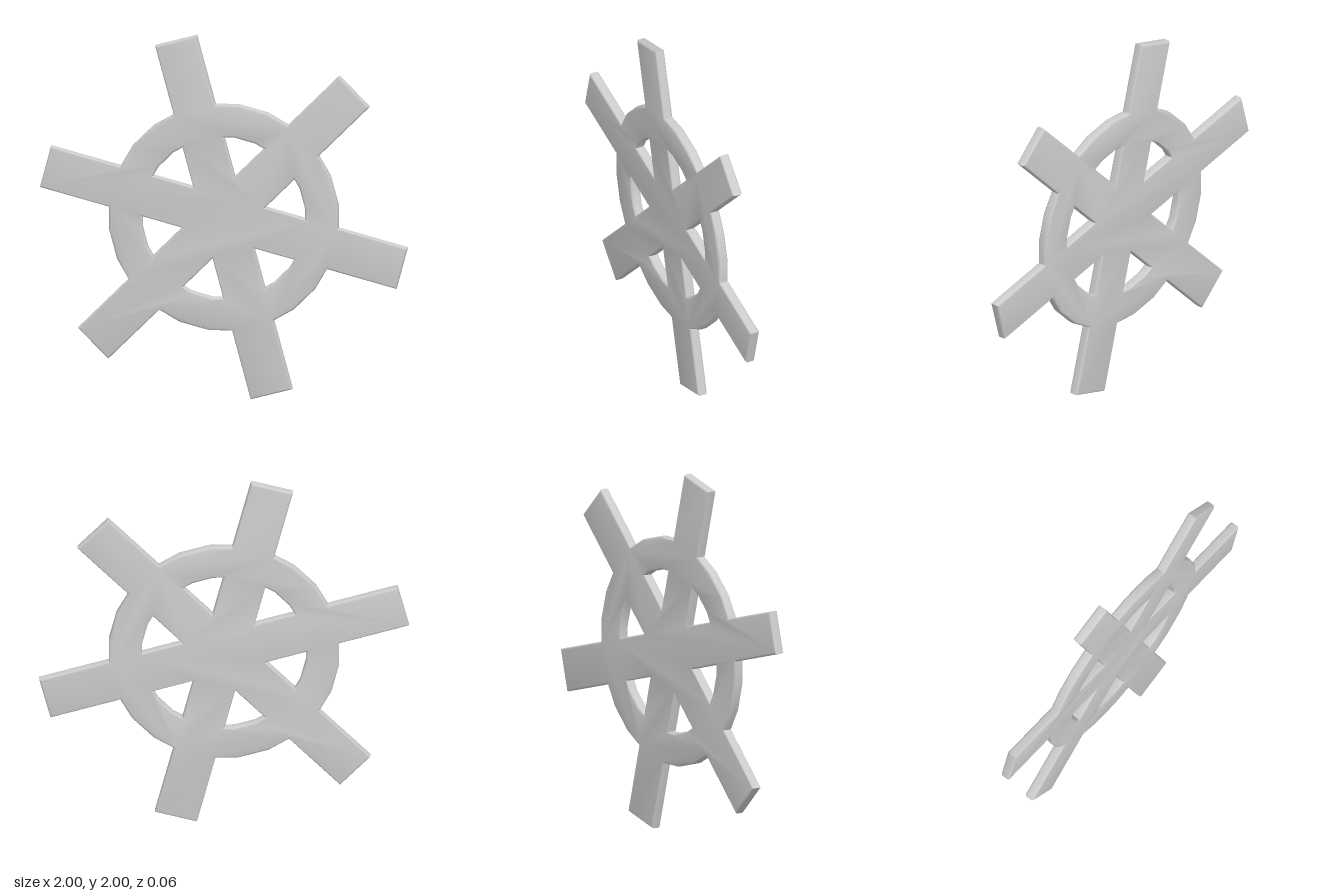
import * as THREE from 'three';
import { toCreasedNormals } from 'three/addons/utils/BufferGeometryUtils.js';

const SPOKES = 6;
const HALF_WIDTH = 0.117;   // half the width of a spoke
const REACH = 1.004;        // hub centre to spoke tip
const RING_OUT = 0.628;
const RING_IN = 0.447;
const HALF_DEPTH = 0.028;
const BEVEL = 0.012;

const deg = THREE.MathUtils.degToRad;
const polar = (r, a) => new THREE.Vector2(r * Math.cos(a), r * Math.sin(a));
// point given along and across a spoke that lies at angle a
const onSpoke = (along, across, a) =>
  new THREE.Vector2(along, across).rotateAround(new THREE.Vector2(), a);
// where a spoke's edge leaves a 24-sided circle of radius r
const edgeMeet = (r) => {
  const off = Math.asin(HALF_WIDTH / r) - deg(15);
  const rr = r * Math.cos(deg(7.5)) / Math.cos(off);
  return Math.sqrt(rr * rr - HALF_WIDTH * HALF_WIDTH);
};

export function createModel() {
  const outline = [];
  const holes = [];
  const outer = edgeMeet(RING_OUT);
  const inner = edgeMeet(RING_IN);

  for (let i = 0; i < SPOKES; i++) {
    const a = deg(45 + 60 * i);
    const next = a + deg(60);

    // spoke end, then the stretch of rim up to the next spoke
    outline.push(
      onSpoke(outer, -HALF_WIDTH, a),
      onSpoke(REACH, -HALF_WIDTH, a),
      onSpoke(REACH, HALF_WIDTH, a),
      onSpoke(outer, HALF_WIDTH, a),
      polar(RING_OUT, a + deg(22.5)),
      polar(RING_OUT, a + deg(37.5))
    );

    // window between two spokes and the rim
    holes.push(new THREE.Path([
      polar(HALF_WIDTH / Math.sin(deg(30)), a + deg(30)),
      onSpoke(inner, HALF_WIDTH, a),
      polar(RING_IN, a + deg(22.5)),
      polar(RING_IN, a + deg(37.5)),
      onSpoke(inner, -HALF_WIDTH, next)
    ]));
  }

  const shape = new THREE.Shape(outline);
  shape.holes = holes;

  // flat plate with rounded edges
  const depth = 2 * (HALF_DEPTH - BEVEL);
  const plate = new THREE.ExtrudeGeometry(shape, {
    depth,
    bevelEnabled: true,
    bevelThickness: BEVEL,
    bevelSize: BEVEL,
    bevelOffset: -BEVEL,
    bevelSegments: 3
  });
  plate.translate(0, 0, -depth / 2);

  const wheel = new THREE.Mesh(
    toCreasedNormals(plate, 0.6),
    new THREE.MeshStandardMaterial({ color: 0xcccccc })
  );
  wheel.name = 'spokedWheel';
  wheel.position.y = 1;

  const group = new THREE.Group();
  group.name = 'wheel';
  group.add(wheel);
  return group;
}
